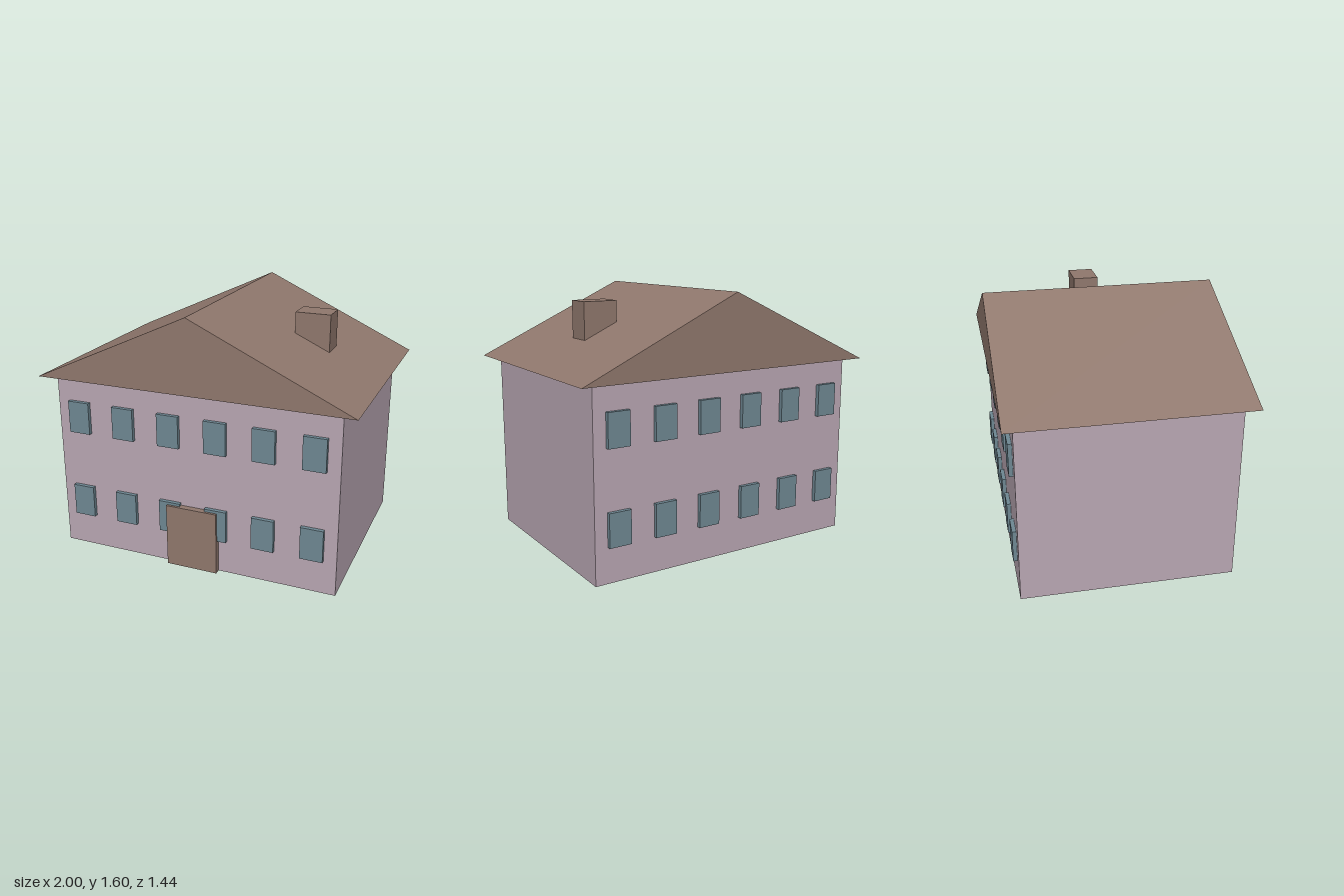
import * as THREE from 'three';

const material = (name, color) => {
  const m = new THREE.MeshStandardMaterial({ color });
  m.name = name;
  return m;
};

export function createModel() {
  const house = new THREE.Group();
  house.name = 'house';
  const wallPaint = material('mauve walls', 0xb9a7b3);
  const brown = material('brown roof and wood', 0x90786d);
  const glass = material('blue grey glass', 0x6f8893);

  // Box given by its lower and upper corners
  const addBox = (name, mat, [x0, y0, z0], [x1, y1, z1]) => {
    const mesh = new THREE.Mesh(new THREE.BoxGeometry(x1 - x0, y1 - y0, z1 - z0), mat);
    mesh.position.set((x0 + x1) / 2, (y0 + y1) / 2, (z0 + z1) / 2);
    mesh.name = name;
    house.add(mesh);
  };

  // Walls
  const wallTop = 1.14, wallX = 0.907, wallZ = 0.655;
  addBox('walls', wallPaint, [-wallX, 0, -wallZ], [wallX, wallTop, wallZ]);

  // Gabled roof with closed ends, overhanging the walls
  const gable = new THREE.Shape([
    new THREE.Vector2(-1, wallTop),
    new THREE.Vector2(1, wallTop),
    new THREE.Vector2(0, 1.6),
  ]);
  const roofGeometry = new THREE.ExtrudeGeometry(gable, { depth: 1.44, bevelEnabled: false });
  roofGeometry.translate(0, 0, -0.72);
  const roof = new THREE.Mesh(roofGeometry, brown);
  roof.name = 'roof';
  house.add(roof);

  // Chimney, its foot sunk into the roof
  addBox('chimney', brown, [0.435, 1.2, -0.08], [0.655, 1.53, 0.08]);

  // Front door
  addBox('door', brown, [-0.165, 0, wallZ - 0.01], [0.165, 0.403, 0.695]);

  // Two rows of six windows on the front and back
  for (const side of [1, -1]) {
    const zs = [side * (wallZ - 0.01), side * 0.68].sort((a, b) => a - b);
    for (const sill of [0.216, 0.784]) {
      for (let i = 0; i < 6; i++) {
        const x = (i - 2.5) * 0.303;
        addBox(side > 0 ? 'frontWindow' : 'backWindow', glass,
          [x - 0.07, sill, zs[0]], [x + 0.07, sill + 0.204, zs[1]]);
      }
    }
  }

  return house;
}
